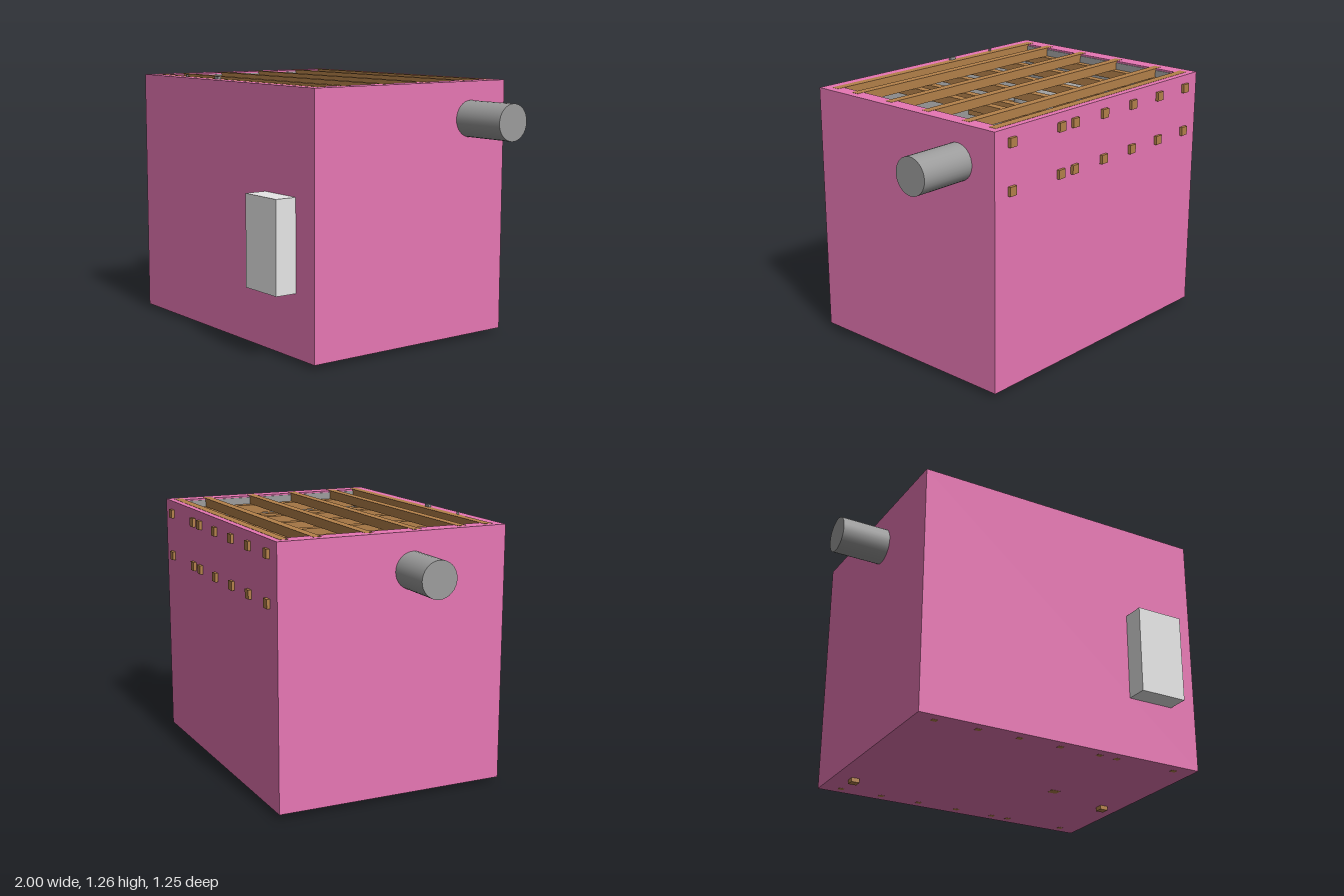
import * as THREE from 'three';

const mat = (name, color) => Object.assign(new THREE.MeshStandardMaterial({ color }), { name });

export function createModel() {
  const root = new THREE.Group();
  root.name = 'timberFramedRoom';
  const pink = mat('pinkInsulation', 0xea78b6);
  const wood = mat('timber', 0xb4814a);
  const grey = mat('greyMetal', 0x9c9c9c);
  const pale = mat('paleGrey', 0xe8e8e8);

  const add = (name, geo, material, x = 0, y = 0, z = 0, parent = root) => {
    const m = new THREE.Mesh(geo, material);
    m.name = name;
    m.position.set(x, y, z);
    parent.add(m);
    return m;
  };
  // Box given by its lower and upper limits on each axis
  const box = (name, material, x0, x1, y0, y1, z0, z1, parent = root) =>
    add(name, new THREE.BoxGeometry(x1 - x0, y1 - y0, z1 - z0), material,
      (x0 + x1) / 2, (y0 + y1) / 2, (z0 + z1) / 2, parent);

  // Rectangular tube standing upright, with limits in plan
  const ring = (name, material, o, i, y0, y1) => {
    const rect = (P, [x0, x1, z0, z1]) => {
      const p = new P();
      p.moveTo(x0, -z1); p.lineTo(x1, -z1); p.lineTo(x1, -z0); p.lineTo(x0, -z0);
      p.closePath();
      return p;
    };
    const s = rect(THREE.Shape, o);
    s.holes.push(rect(THREE.Path, i));
    const g = new THREE.ExtrudeGeometry(s, { depth: y1 - y0, bevelEnabled: false });
    g.rotateX(-Math.PI / 2);
    add(name, g, material, 0, y0, 0);
  };

  // Shell: insulated walls and floor, grey inner lining
  const inner = [-0.68, 0.64, -0.54, 0.45];
  ring('walls', pink, [-0.762, 0.718, -0.612, 0.521], inner, 0.021, 1.243);
  box('floorSlab', pink, -0.68, 0.64, 0.021, 0.08, -0.54, 0.45);
  box('floorLining', grey, -0.68, 0.64, 0.08, 0.088, -0.54, 0.45);
  ring('wallLining', grey, inner, [-0.674, 0.634, -0.534, 0.444], 0.085, 1.235);

  // Roof battens let into the rim
  for (const z of [-0.56, -0.404, -0.155, 0.083, 0.315, 0.454])
    box('roofBatten', wood, -0.722, 0.678, 1.2, 1.244, z - 0.021, z + 0.021);

  // Two levels of joists running through the back wall
  const joistX = [-0.66, -0.445, -0.235, -0.02, 0.192, 0.288, 0.613];
  for (const x of joistX) {
    box('upperJoist', wood, x - 0.021, x + 0.021, 1.157, 1.2, -0.627, 0.47);
    box('lowerJoist', wood, x - 0.021, x + 0.021, 0.938, 0.981, -0.627, 0.47);
    // wall studs, whose feet just show underneath
    for (const z of [-0.56, 0.465])
      box('wallStud', wood, x - 0.014, x + 0.014, 0.0202, 1.2, z - 0.012, z + 0.012);
  }
  // Corner posts reaching the ground
  for (const [x, z] of [[0.613, -0.15], [-0.66, -0.4]])
    box('groundPost', wood, x - 0.021, x + 0.021, 0, 1.2, z - 0.021, z + 0.021);

  // Partition with its two studs
  box('partition', pale, 0.31, 0.336, 0.088, 0.93, -0.09, 0.44);
  for (const [z, foot] of [[-0.07, 0.0202], [0.2, 0.088]])
    box('partitionStud', wood, 0.25, 0.3, foot, 0.93, z - 0.021, z + 0.021);

  // Slatted bench behind the partition
  const bench = new THREE.Group();
  bench.name = 'bench';
  root.add(bench);
  for (const [z0, z1, y] of [[-0.05, 0.0, 0.4], [0.008, 0.055, 0.4], [0.063, 0.16, 0.4],
    [0.19, 0.31, 0.55], [0.318, 0.43, 0.55]])
    box('benchSlat', wood, 0.34, 0.6, y - 0.04, y, z0, z1, bench);
  for (const x of [0.36, 0.58])
    for (const [z, y] of [[-0.02, 0.36], [0.4, 0.51]])
      box('benchLeg', wood, x - 0.02, x + 0.02, 0.088, y, z - 0.02, z + 0.02, bench);

  // Two simple chairs
  const chair = (x, z, turn) => {
    const c = new THREE.Group();
    c.name = 'chair';
    c.position.set(x, 0.088, z);
    c.rotation.y = turn;
    box('chairSeat', wood, -0.08, 0.08, 0.2, 0.22, -0.1, 0.1, c);
    box('chairBack', wood, -0.08, 0.08, 0.22, 0.45, -0.1, -0.08, c);
    for (const sx of [-1, 1])
      for (const sz of [-1, 1])
        add('chairLeg', new THREE.BoxGeometry(0.02, 0.2, 0.02), wood, sx * 0.07, 0.1, sz * 0.09, c);
    root.add(c);
  };
  chair(-0.54, -0.15, 0);
  chair(-0.48, 0.22, 0.65);

  // Hanging rails
  for (const z of [0.15, 0.166, 0.182]) {
    const rail = add('rail', new THREE.CylinderGeometry(0.007, 0.007, 1.25, 10), grey, -0.02, 0.9, z);
    rail.rotation.z = Math.PI / 2;
  }

  // Ducts: a straight main and a branch that bends into it
  const R = 0.087, Y = 1.067;
  const duct = (name, x0, x1, z) => {
    add(name, new THREE.CylinderGeometry(R, R, x1 - x0, 32), grey, (x0 + x1) / 2, Y, z)
      .rotation.z = Math.PI / 2;
  };
  duct('mainDuct', -0.64, 1, -0.392);
  duct('branchDuct', -1, -0.38, 0.042);
  const v = (x, z) => new THREE.Vector3(x, Y, z);
  const bend = new THREE.CurvePath();
  bend.add(new THREE.LineCurve3(v(-0.4, 0.042), v(-0.36, 0.042)));
  bend.add(new THREE.CubicBezierCurve3(v(-0.36, 0.042), v(-0.22, 0.042), v(-0.13, -0.03), v(-0.13, -0.16)));
  bend.add(new THREE.LineCurve3(v(-0.13, -0.16), v(-0.13, -0.39)));
  add('ductBend', new THREE.TubeGeometry(bend, 40, R, 32), grey);

  // Outside cabinet on the front wall
  box('cabinet', pale, 0.338, 0.578, 0.32, 0.755, 0.52, 0.628);

  // Small fittings on the front rim
  box('rimBracket', grey, -0.145, -0.113, 1.235, 1.257, 0.467, 0.483);
  box('rimPin', grey, -0.418, -0.41, 1.235, 1.255, 0.47, 0.48);

  return root;
}
